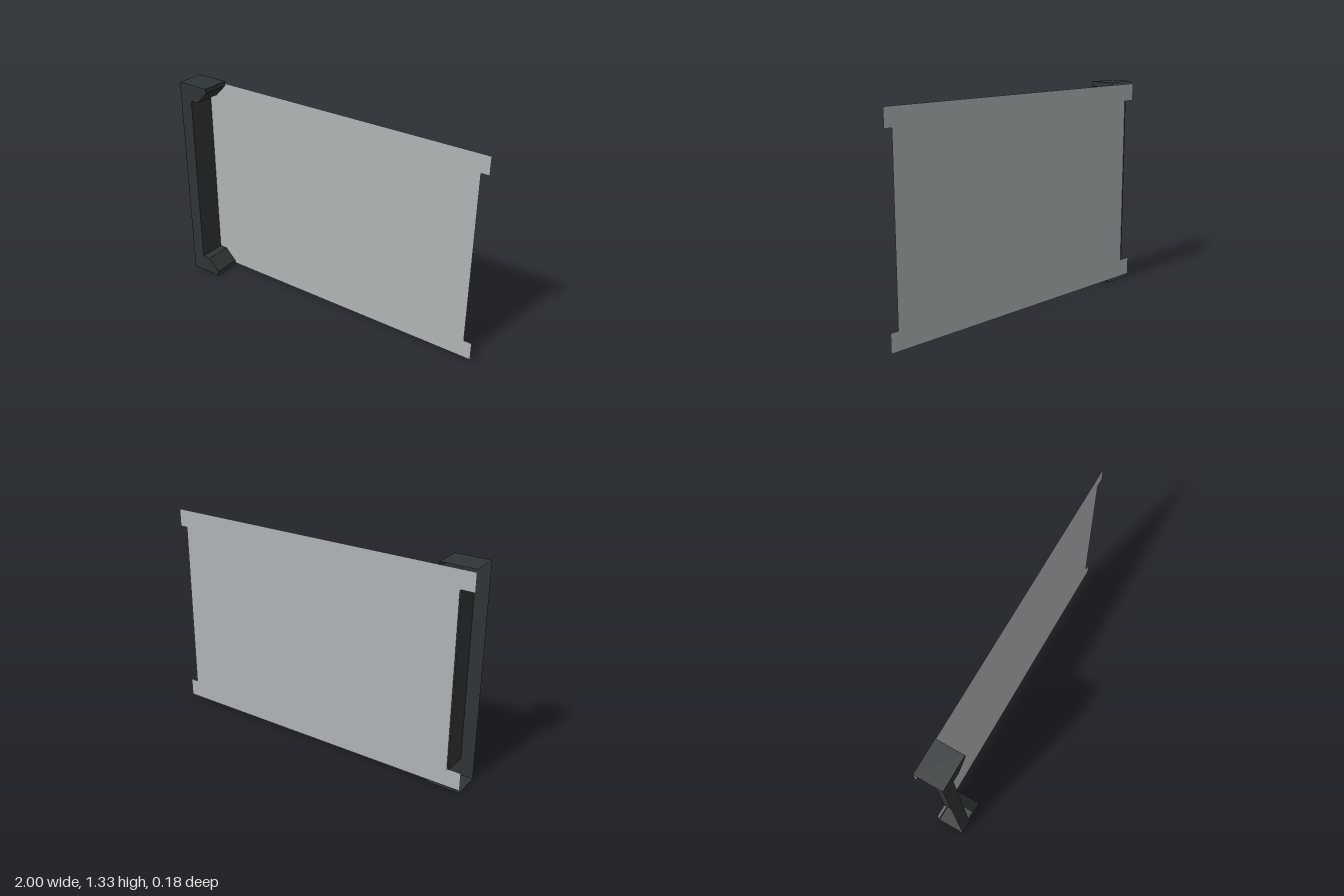
import * as THREE from 'three';

const FRONT = 0.09, BACK = -0.083, LIP = -0.09;

function mesh(name, geometry, material) {
  const m = new THREE.Mesh(geometry, material);
  m.name = name;
  return m;
}

function polygon(points, z) {
  const shape = new THREE.Shape(points.map(([x, y]) => new THREE.Vector2(x, y)));
  return new THREE.ShapeGeometry(shape).translate(0, 0, z);
}

// Flat strips joining each outline point to the next, from z0 back to z1
function ribbon(points, z0, z1) {
  const pos = [];
  for (let i = 0; i < points.length - 1; i++) {
    const [ax, ay] = points[i], [bx, by] = points[i + 1];
    pos.push(ax, ay, z0, ax, ay, z1, bx, by, z1);
    pos.push(ax, ay, z0, bx, by, z1, bx, by, z0);
  }
  const g = new THREE.BufferGeometry();
  g.setAttribute('position', new THREE.Float32BufferAttribute(pos, 3));
  g.computeVertexNormals();
  return g;
}

export function createModel() {
  const dark = new THREE.MeshStandardMaterial({ color: 0x2f3436, side: THREE.DoubleSide });
  const grey = new THREE.MeshStandardMaterial({ color: 0xb0b4b6, side: THREE.DoubleSide });
  const model = new THREE.Group();
  model.name = 'panelWithHandle';

  // Thin sheet with a notch in each end
  const sheet = [
    [-1, 0.015], [1, 0.015], [1, 0.13], [0.95, 0.13], [0.95, 1.2], [1, 1.2],
    [1, 1.31], [-1, 1.31], [-1, 1.2], [-0.92, 1.2], [-0.92, 0.13], [-1, 0.13],
  ];
  model.add(mesh('panel', polygon(sheet, BACK), grey));

  // C-shaped handle: a shell open at the outer side and the back
  const outline = [
    [-1, 0], [-0.79, 0], [-0.79, 0.032], [-0.865, 0.108], [-0.917, 0.108],
    [-0.917, 1.22], [-0.865, 1.22], [-0.79, 1.296], [-0.79, 1.325], [-1, 1.325],
  ];
  const handle = new THREE.Group();
  handle.name = 'handle';
  handle.add(
    mesh('handleFront', polygon(outline, FRONT), dark),
    mesh('handleWalls', ribbon(outline, FRONT, BACK), dark),
    // Edge of the inner wall passing through the notch
    mesh('handleLip', ribbon([[-0.917, 0.13], [-0.917, 1.2]], BACK, LIP), dark),
  );
  model.add(handle);
  return model;
}
